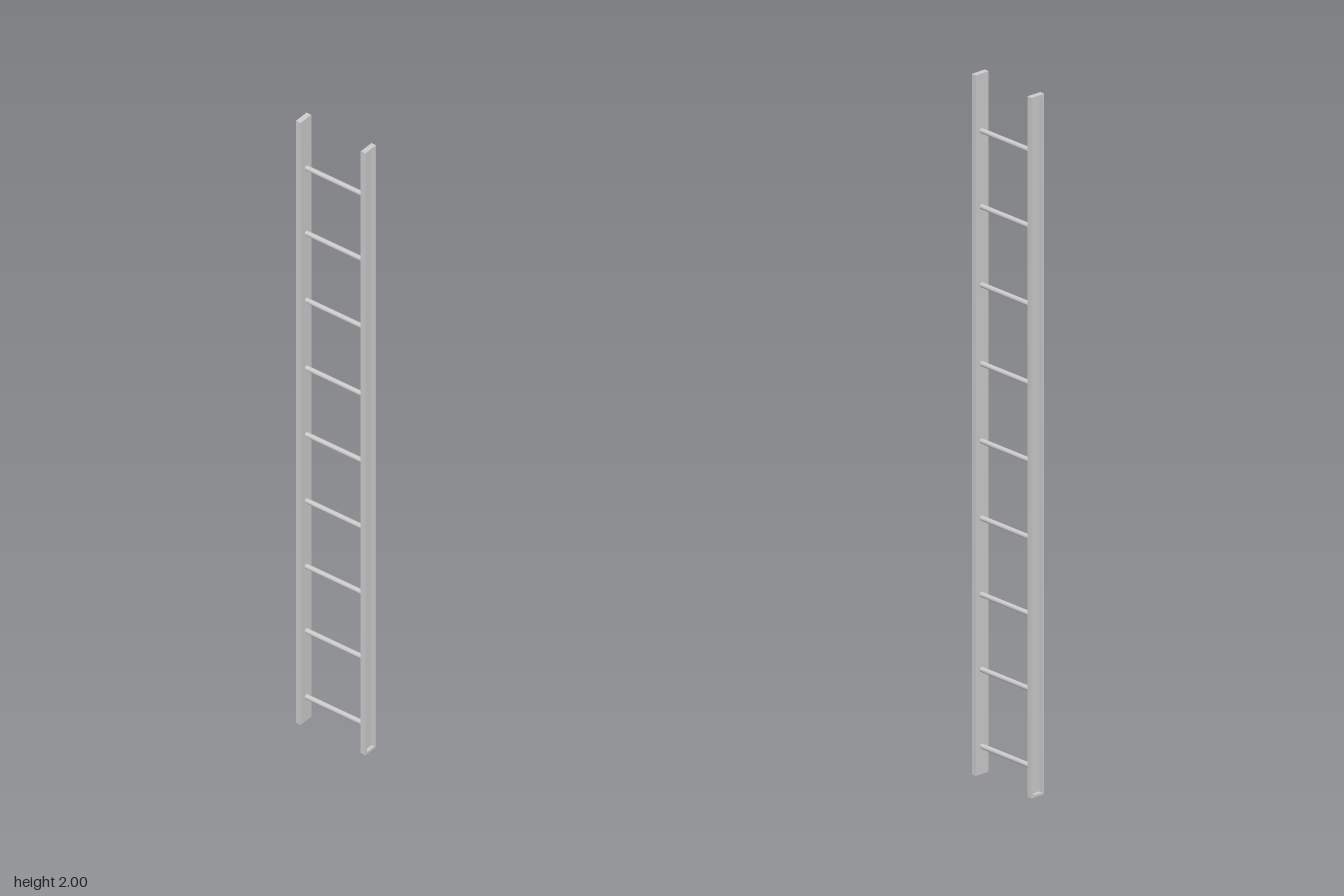
import * as THREE from 'three';

const mat = new THREE.MeshStandardMaterial({ color: 0xcccccc });
const H = 2, D = 0.046;             // rail height and depth
const INNER = 0.101, OUTER = 0.117; // rail inner and outer x
const WEB = 0.006, RIM = 0.007;     // web thickness, rim width

// Side rail: flat inner web with a raised rim around its outer face
function rail(side) {
  const group = new THREE.Group();
  group.name = side > 0 ? 'leftRail' : 'rightRail';

  const web = new THREE.Mesh(new THREE.BoxGeometry(WEB, H, D), mat);
  web.name = 'railWeb';
  web.position.set(side * (INNER + WEB / 2), H / 2, 0);

  const frame = new THREE.Shape();
  frame.moveTo(-D / 2, 0).lineTo(D / 2, 0).lineTo(D / 2, H).lineTo(-D / 2, H).closePath();
  const hole = new THREE.Path();
  const w = D / 2 - RIM;
  hole.moveTo(-w, RIM).lineTo(-w, H - RIM).lineTo(w, H - RIM).lineTo(w, RIM).closePath();
  frame.holes.push(hole);
  const depth = OUTER - INNER - WEB;
  const rim = new THREE.Mesh(new THREE.ExtrudeGeometry(frame, { depth, bevelEnabled: false }), mat);
  rim.name = 'railRim';
  rim.rotation.y = side * Math.PI / 2;
  rim.position.x = side * (INNER + WEB);

  group.add(web, rim);
  return group;
}

export function createModel() {
  const model = new THREE.Group();
  model.name = 'ladder';
  model.add(rail(1), rail(-1));

  // Round rungs between the rails
  const rungGeo = new THREE.CylinderGeometry(0.0072, 0.0072, 2 * INNER + 0.004, 16);
  rungGeo.rotateZ(Math.PI / 2);
  const heights = [0.08, 0.299, 0.513, 0.731, 0.951, 1.172, 1.397, 1.62, 1.837];
  heights.forEach((y, i) => {
    const rung = new THREE.Mesh(rungGeo, mat);
    rung.name = `rung${i + 1}`;
    rung.position.set(0, y, -0.002);
    model.add(rung);
  });
  return model;
}
